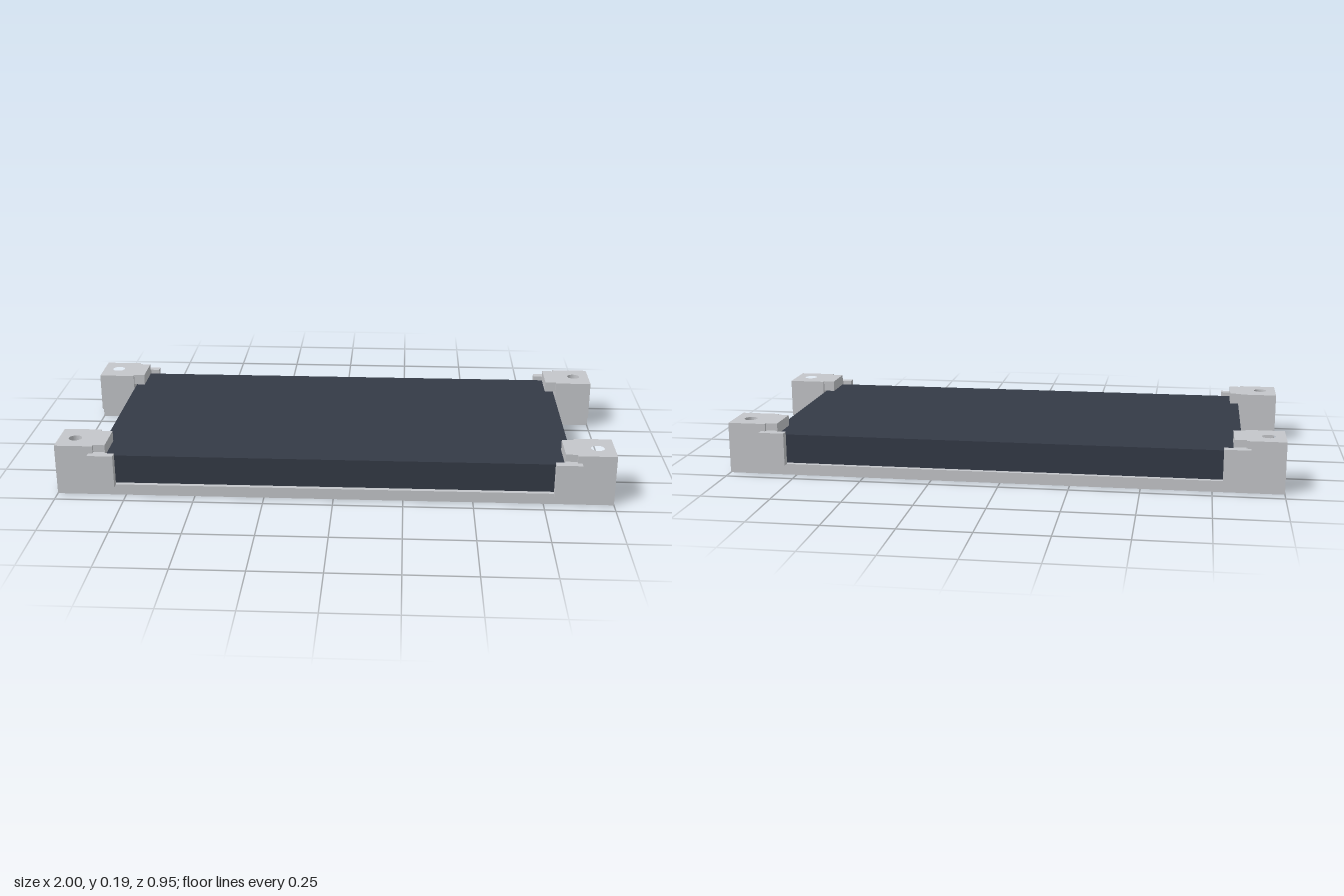
import * as THREE from 'three';

// Vertical slab from a plan outline of [x, z] points with round [x, z, r] holes
function slab(points, holes, y0, y1) {
  const shape = new THREE.Shape(points.map(([x, z]) => new THREE.Vector2(x, -z)));
  for (const [x, z, r] of holes) {
    const hole = new THREE.Path();
    hole.absarc(x, -z, r, 0, Math.PI * 2, true);
    shape.holes.push(hole);
  }
  const geo = new THREE.ExtrudeGeometry(shape, { depth: y1 - y0, bevelEnabled: false, curveSegments: 16 });
  geo.rotateX(-Math.PI / 2);
  geo.translate(0, y0, 0);
  return geo;
}

function box(x0, x1, y0, y1, z0, z1) {
  const geo = new THREE.BoxGeometry(Math.abs(x1 - x0), y1 - y0, Math.abs(z1 - z0));
  geo.translate((x0 + x1) / 2, (y0 + y1) / 2, (z0 + z1) / 2);
  return geo;
}

export function createModel() {
  const model = new THREE.Group();
  const grey = new THREE.MeshStandardMaterial({ color: 0xc4c6ca });
  grey.name = 'light grey plastic';
  const slate = new THREE.MeshStandardMaterial({ color: 0x343a46 });
  slate.name = 'dark slate';

  const add = (parent, name, geo, mat) => {
    const mesh = new THREE.Mesh(geo, mat);
    mesh.name = name;
    parent.add(mesh);
  };

  const corners = [[1, 1], [-1, 1], [-1, -1], [1, -1]];
  const plateTop = 0.04;

  // H-shaped base plate: two long rails joined by a central web
  const outline = [
    [1, 0.45], [-1, 0.45], [-1, 0.31], [-0.26, 0.31], [-0.26, -0.31], [-1, -0.31],
    [-1, -0.45], [1, -0.45], [1, -0.31], [0.26, -0.31], [0.26, 0.31], [1, 0.31],
  ];
  const holes = corners.flatMap(([sx, sz]) => [
    [sx * 0.94, sz * 0.375, 0.024],
    [sx * 0.19, sz * 0.19, 0.02],
  ]);
  add(model, 'basePlate', slab(outline, holes, 0, plateTop), grey);

  // Flat panel held between the corner brackets
  add(model, 'panel', box(-0.852, 0.852, plateTop + 0.001, 0.147, -0.435, 0.435), slate);

  // Corner brackets: drilled post, lip over the panel and outer side clip
  for (const [sx, sz] of corners) {
    const bracket = new THREE.Group();
    bracket.name = 'cornerBracket';
    const plan = [[0.862, 0.29], [1, 0.29], [1, 0.45], [0.862, 0.45]].map(([x, z]) => [sx * x, sz * z]);
    add(bracket, 'post', slab(plan, [[sx * 0.94, sz * 0.375, 0.024]], plateTop, 0.187), grey);
    add(bracket, 'lip', box(sx * 0.82, sx * 0.862, 0.147, 0.187, sz * 0.302, sz * 0.437), grey);
    add(bracket, 'clip', box(sx * 0.786, sx * 0.878, plateTop, 0.16, sz * 0.446, sz * 0.475), grey);
    add(bracket, 'clipRoot', box(sx * 0.82, sx * 0.862, plateTop, 0.16, sz * 0.436, sz * 0.446), grey);
    model.add(bracket);
  }
  return model;
}
